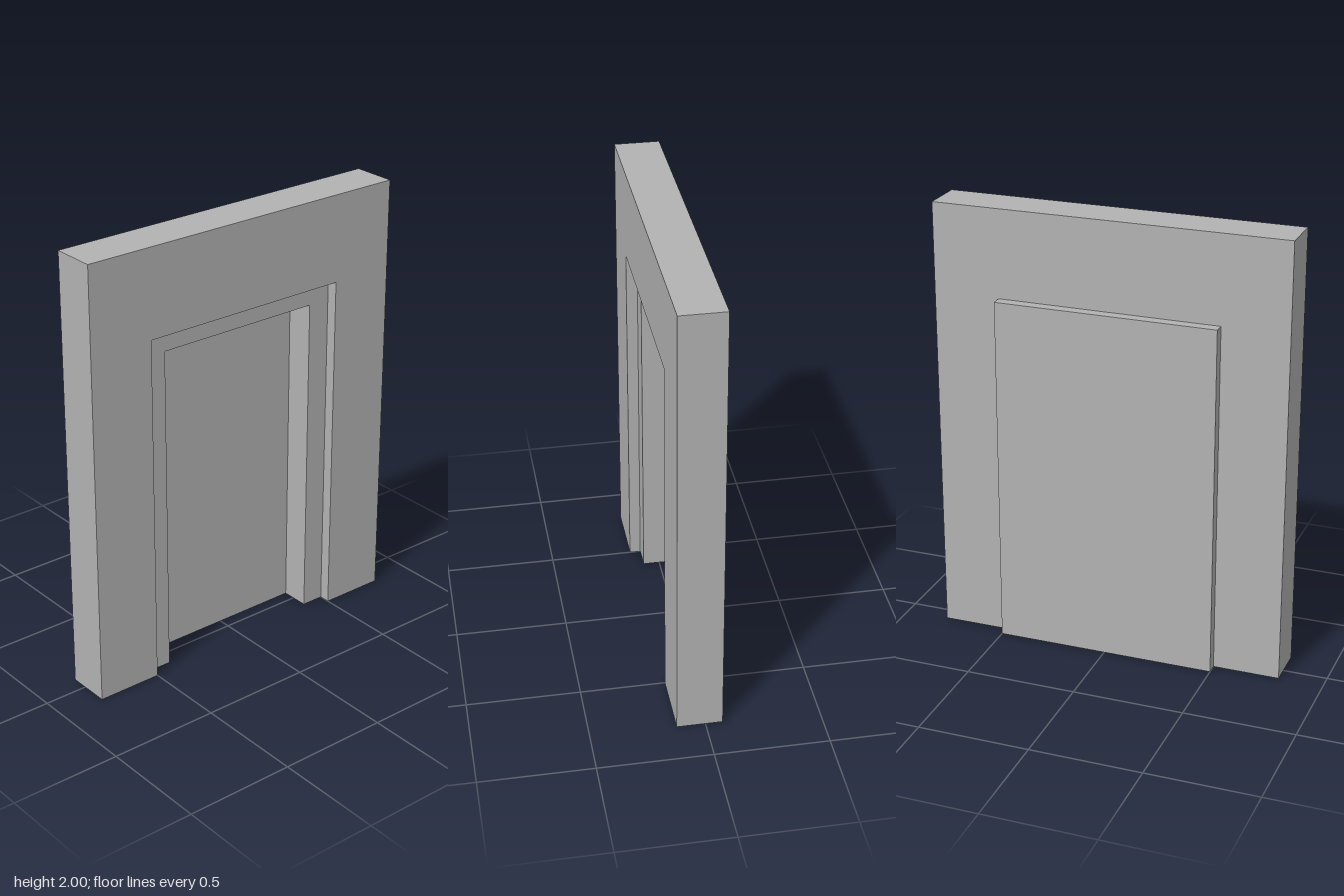
import * as THREE from 'three';
import { mergeGeometries } from 'three/addons/utils/BufferGeometryUtils.js';

// Half width and height of each arch outline
const WALL = [0.8, 2], FRAME = [0.5, 1.6], OPENING = [0.395, 1.505];
// Depth levels
const WALL_FRONT = 0.125, FRAME_FRONT = 0.075, PANEL_FRONT = -0.055;
const WALL_BACK = -0.075, PANEL_BACK = -0.125;

// Outline from bottom left, over the top, to bottom right
const arch = ([w, h]) => [[-w, 0], [-w, h], [w, h], [w, 0]];

// Flat upright sheet, optionally with a doorway cut out of it
function sheet(outer, inner, z, facesBack = false) {
  const points = arch(outer).concat(inner ? arch(inner).reverse() : []);
  const shape = new THREE.Shape(points.map(([x, y]) => new THREE.Vector2(x, y)));
  const geometry = new THREE.ShapeGeometry(shape);
  if (facesBack) geometry.rotateY(Math.PI);
  return geometry.translate(0, 0, z);
}

// One four-cornered face, corners counter-clockwise
function quad(a, b, c, d) {
  const geometry = new THREE.BufferGeometry();
  geometry.setAttribute('position', new THREE.Float32BufferAttribute([a, b, c, a, c, d].flat(), 3));
  geometry.computeVertexNormals();
  return geometry;
}

// Two sides and top following an arch between two depths, open at the floor
function band(size, front, back, facesIn = false) {
  const path = arch(size);
  const faces = [];
  for (let i = 0; i < 3; i++) {
    const p = path[i], q = path[i + 1];
    const corners = [[...p, back], [...p, front], [...q, front], [...q, back]];
    faces.push(quad(...(facesIn ? corners.reverse() : corners)));
  }
  return mergeGeometries(faces);
}

export function createModel() {
  const model = new THREE.Group();
  model.name = 'doorwayWall';
  const grey = new THREE.MeshStandardMaterial({ color: 0xb2b2b2, side: THREE.DoubleSide });
  grey.name = 'plain grey';

  const group = (name, parts) => {
    const g = new THREE.Group();
    g.name = name;
    for (const [part, geometry] of Object.entries(parts)) {
      const mesh = new THREE.Mesh(geometry, grey);
      mesh.name = part;
      g.add(mesh);
    }
    model.add(g);
  };

  // Hollow wall, open underneath
  group('wall', {
    wallFront: sheet(WALL, FRAME, WALL_FRONT),
    wallBack: sheet(WALL, FRAME, WALL_BACK, true),
    wallEdges: band(WALL, WALL_FRONT, WALL_BACK),
  });

  // Stepped door frame set into the wall
  group('frame', {
    outerReveal: band(FRAME, WALL_FRONT, FRAME_FRONT, true),
    frameFront: sheet(FRAME, OPENING, FRAME_FRONT),
    innerReveal: band(OPENING, FRAME_FRONT, PANEL_FRONT, true),
  });

  // Door panel, projecting behind the wall
  const w = OPENING[0];
  group('panel', {
    panelFront: sheet(OPENING, null, PANEL_FRONT),
    panelBack: sheet(FRAME, null, PANEL_BACK, true),
    panelEdges: band(FRAME, WALL_BACK, PANEL_BACK),
    panelUnderside: quad([-w, 0, PANEL_BACK], [w, 0, PANEL_BACK], [w, 0, PANEL_FRONT], [-w, 0, PANEL_FRONT]),
  });

  return model;
}
